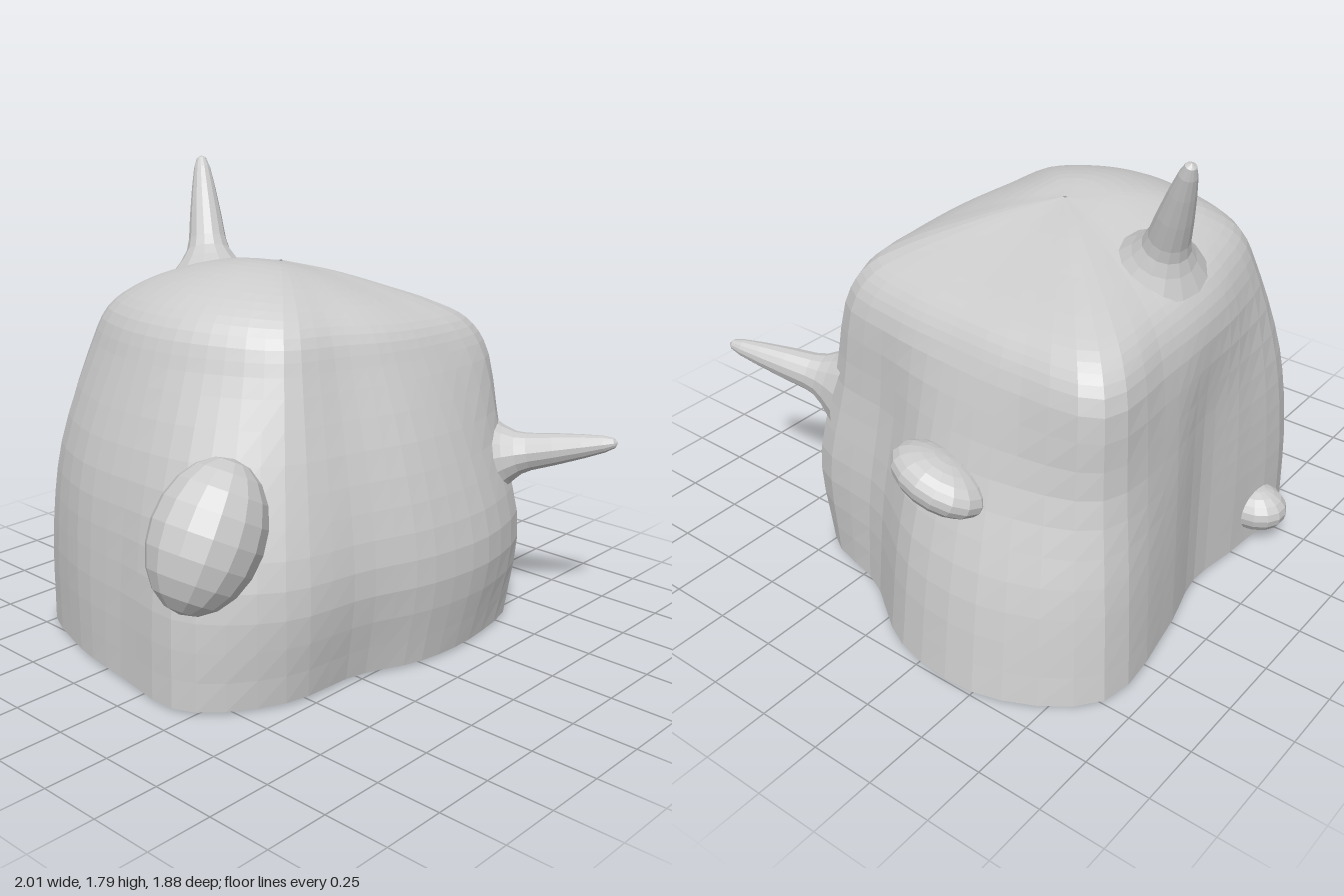
import * as THREE from 'three';

const material = new THREE.MeshStandardMaterial({ color: 0xcccccc, flatShading: true, side: THREE.DoubleSide });
const CENTRE_Z = -0.15;

// Radii every 22.5 degrees, turning from +x towards +z
const foot = [0.96, 0.83, 0.92, 0.81, 0.73, 0.68, 0.83, 0.95, 0.86, 0.87, 0.92, 0.72, 0.64, 0.77, 1.05, 1.06];
const low = [0.90, 0.80, 0.95, 0.88, 0.79, 0.75, 0.87, 0.93, 0.84, 0.87, 0.91, 0.72, 0.64, 0.76, 1.00, 0.98];
const waist = [0.78, 0.74, 0.87, 0.79, 0.72, 0.69, 0.78, 0.82, 0.79, 0.83, 0.86, 0.70, 0.64, 0.74, 0.92, 0.84];
const shoulder = [0.67, 0.70, 0.80, 0.66, 0.59, 0.57, 0.65, 0.65, 0.67, 0.70, 0.74, 0.66, 0.64, 0.70, 0.90, 0.74];

// radii, scale, height, sideways tilt of the ring
const levels = [
  [foot, 1, 0.01, 0], [low, 1, 0.4, 0], [waist, 1, 0.76, 0], [shoulder, 1, 1.12, 0.01],
  [shoulder, 0.9, 1.25, 0.04], [shoulder, 0.74, 1.325, 0.055], [shoulder, 0.5, 1.39, 0.055],
  [shoulder, 0.25, 1.435, 0.035], [shoulder, 0.01, 1.45, 0]
];

// Closed ring curve for one level of the body
function ring([radii, scale, height, tilt]) {
  const points = radii.map((r, k) => {
    const a = k * Math.PI / 8;
    return new THREE.Vector3(Math.cos(a) * r * scale, height - tilt * Math.cos(a), CENTRE_Z + Math.sin(a) * r * scale);
  });
  return new THREE.CatmullRomCurve3(points, true);
}

// Rounded boulder: rings joined by smooth upright curves
function bodyGeometry(sides = 56, rows = 28) {
  const rings = levels.map(ring);
  const positions = [], index = [];
  for (let i = 0; i < sides; i++) {
    const column = new THREE.CatmullRomCurve3(rings.map(c => c.getPoint(i / sides)));
    for (let j = 0; j <= rows; j++) positions.push(...column.getPoint(j / rows).toArray());
  }
  const at = (i, j) => (i % sides) * (rows + 1) + j;
  const bottom = positions.length / 3;
  positions.push(0, 0, CENTRE_Z);
  for (let i = 0; i < sides; i++) {
    for (let j = 0; j < rows; j++) {
      index.push(at(i, j), at(i, j + 1), at(i + 1, j), at(i + 1, j), at(i, j + 1), at(i + 1, j + 1));
    }
    index.push(bottom, at(i, 0), at(i + 1, 0));
  }
  const geometry = new THREE.BufferGeometry();
  geometry.setAttribute('position', new THREE.Float32BufferAttribute(positions, 3));
  geometry.setIndex(index);
  geometry.computeVertexNormals();
  return geometry;
}

// Tapered spike with a flared root, from base to tip
function spike(name, base, tip, width) {
  const from = new THREE.Vector3(...base), axis = new THREE.Vector3(...tip).sub(from);
  const length = axis.length();
  const profile = [[2.1, -0.12], [1.45, 0.02], [1.1, 0.12], [0.95, 0.22], [0.8, 0.45], [0.6, 0.7], [0.42, 0.88], [0.25, 0.97], [0, 1]];
  const geometry = new THREE.LatheGeometry(profile.map(([r, t]) => new THREE.Vector2(r * width, t * length)), 14);
  const mesh = new THREE.Mesh(geometry, material);
  mesh.name = name;
  mesh.position.copy(from);
  mesh.quaternion.setFromUnitVectors(new THREE.Vector3(0, 1, 0), axis.normalize());
  return mesh;
}

// Ellipsoid lump half sunk into the body
function lump(name, position, size, rotation, sides) {
  const mesh = new THREE.Mesh(new THREE.SphereGeometry(1, sides, Math.round(sides * 0.7)), material);
  mesh.name = name;
  mesh.position.set(...position);
  mesh.scale.set(...size);
  mesh.rotation.set(...rotation);
  return mesh;
}

export function createModel() {
  const group = new THREE.Group();
  group.name = 'hornedBoulder';
  const body = new THREE.Mesh(bodyGeometry(), material);
  body.name = 'body';
  group.add(
    body,
    spike('topHorn', [0.055, 1.375, -0.615], [0.17, 1.79, -0.775], 0.08),
    spike('frontHorn', [0.555, 0.69, 0.54], [0.72, 0.785, 0.94], 0.078),
    lump('leftBump', [0.83, 0.71, -0.24], [0.145, 0.095, 0.195], [-0.28, 0, 0.25], 16),
    lump('rightBump', [-0.78, 0.65, 0.25], [0.21, 0.28, 0.2], [0, 0, -0.5], 14),
    lump('backKnob', [-0.41, 0.14, -0.81], [0.115, 0.09, 0.135], [0, 0, 0], 14)
  );
  return group;
}
